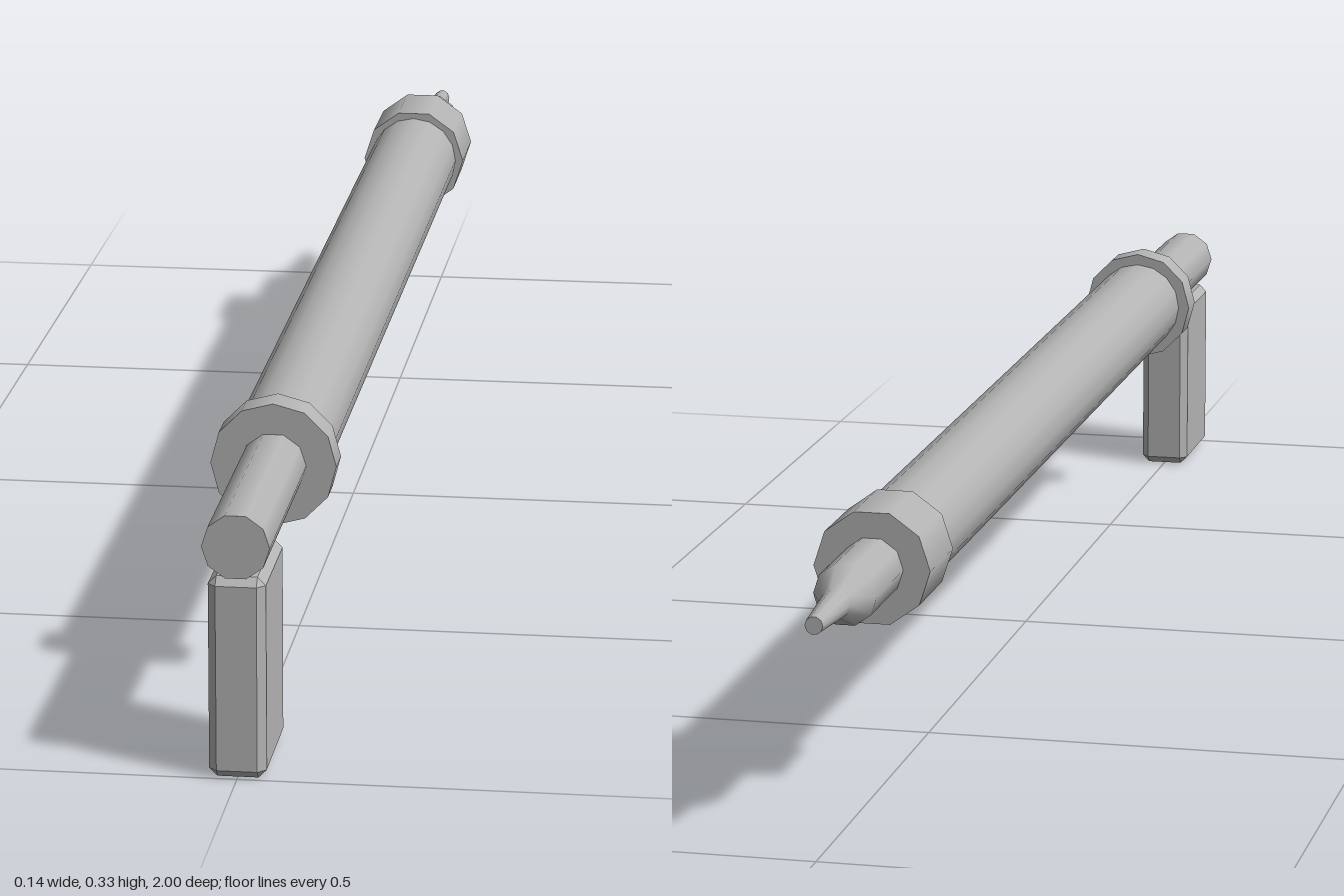
import * as THREE from 'three';
import { ConvexGeometry } from 'three/addons/geometries/ConvexGeometry.js';

const AXIS_Y = 0.26;

export function createModel() {
  const group = new THREE.Group();
  const grey = new THREE.MeshStandardMaterial({ color: 0xb4b4b4 });
  grey.name = 'plain grey';

  // Turned section along z, from the back end to the front end
  function section(name, zBack, zFront, rBack, rFront, sides) {
    const geo = new THREE.CylinderGeometry(rFront, rBack, zFront - zBack, sides, 1, false, Math.PI / 2);
    geo.rotateX(Math.PI / 2);
    const mesh = new THREE.Mesh(geo, grey);
    mesh.name = name;
    mesh.position.set(0, AXIS_Y, (zBack + zFront) / 2);
    group.add(mesh);
  }

  // Box with every edge and corner cut at the same width
  function chamferedBox(w, h, d, c) {
    const points = [];
    for (const sx of [-1, 1]) for (const sy of [-1, 1]) for (const sz of [-1, 1]) {
      for (let axis = 0; axis < 3; axis++) {
        const inset = [c, c, c];
        inset[axis] = 0;
        points.push(new THREE.Vector3(
          sx * (w / 2 - inset[0]), sy * (h / 2 - inset[1]), sz * (d / 2 - inset[2])));
      }
    }
    return new ConvexGeometry(points);
  }

  // Barrel with its two collars
  section('barrel', -0.66, 0.68, 0.056, 0.056, 16);
  section('frontCollar', 0.67, 0.71, 0.07, 0.07, 12);
  section('backCollar', -0.755, -0.65, 0.066, 0.066, 10);

  // Front rod, back rod and stepped tip
  section('frontRod', 0.7, 1, 0.0365, 0.0365, 10);
  section('backRod', -0.87, -0.75, 0.0355, 0.0355, 10);
  section('tipTaper', -0.91, -0.87, 0.017, 0.0355, 10);
  section('tip', -1, -0.91, 0.01, 0.017, 10);

  // Hanging block under the front rod
  const block = new THREE.Mesh(chamferedBox(0.062, 0.225, 0.147, 0.009), grey);
  block.name = 'hangingBlock';
  block.position.set(0, 0.1125, 0.9265);
  group.add(block);

  return group;
}
